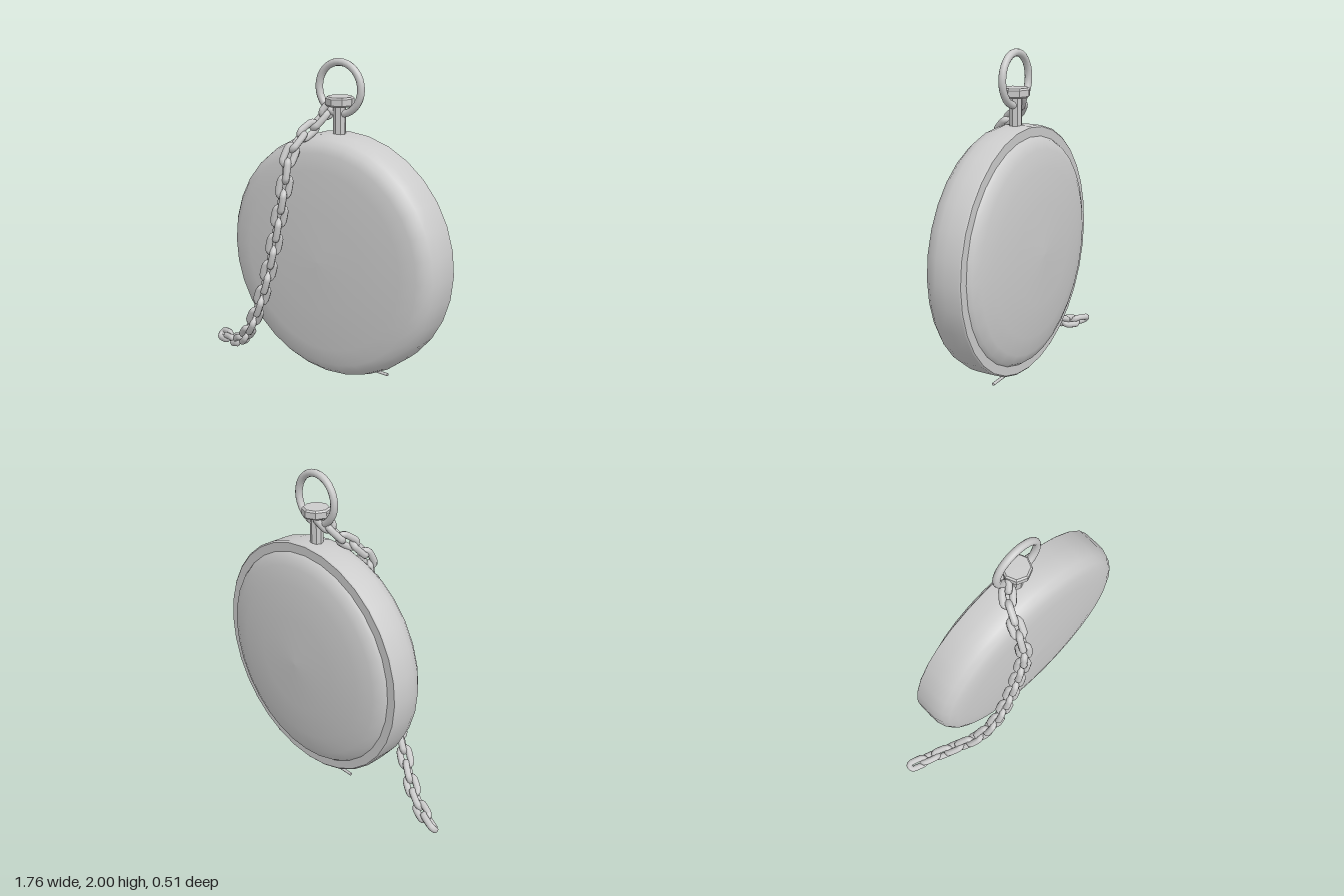
import * as THREE from 'three';

const CX = 0.125, CY = 0.825, STEM_Z = -0.063;
const smooth = new THREE.MeshStandardMaterial({ color: 0xcccccc, side: THREE.DoubleSide });
const faceted = new THREE.MeshStandardMaterial({ color: 0xcccccc, flatShading: true });

function add(parent, name, geometry, material, x = 0, y = 0, z = 0) {
  const mesh = new THREE.Mesh(geometry, material);
  mesh.name = name;
  mesh.position.set(x, y, z);
  parent.add(mesh);
  return mesh;
}

// Turned part whose axis is z; profile is [radius, z] from back to front
function turned(profile) {
  const points = profile.map(([r, z]) => new THREE.Vector2(r, z));
  return new THREE.LatheGeometry(points, 32).rotateX(Math.PI / 2);
}

// Closed oval wire loop lying in the xy plane, long along x
class LinkCurve extends THREE.Curve {
  getPoint(t, target = new THREE.Vector3()) {
    const a = t * Math.PI * 2, c = Math.cos(a);
    return target.set(0.03 * Math.sign(c) * Math.min(1, Math.abs(c) * 3) + 0.029 * c, 0.029 * Math.sin(a), 0);
  }
}

function createChain() {
  const chain = new THREE.Group();
  chain.name = 'chain';
  const path = new THREE.CatmullRomCurve3([
    [0.06, 1.71, -0.06], [0.01, 1.63, -0.01], [-0.035, 1.55, 0.09], [-0.06, 1.45, 0.17],
    [-0.07, 1.28, 0.205], [-0.11, 1.08, 0.21], [-0.165, 0.85, 0.21], [-0.235, 0.62, 0.205],
    [-0.32, 0.42, 0.19], [-0.43, 0.25, 0.15], [-0.57, 0.125, 0.07], [-0.71, 0.065, 0.0],
    [-0.815, 0.05, -0.04],
  ].map(p => new THREE.Vector3(...p)));
  const wire = new THREE.TubeGeometry(new LinkCurve(), 24, 0.021, 8, true);
  const count = Math.round(path.getLength() / 0.095);
  const side = new THREE.Vector3(), up = new THREE.Vector3(), basis = new THREE.Matrix4();
  for (let i = 0; i <= count; i++) {
    const p = path.getPointAt(i / count), t = path.getTangentAt(i / count);
    // Neighbouring links are a quarter turn apart
    side.set(0, 0, 1).cross(t).normalize();
    up.crossVectors(t, side);
    basis.makeBasis(t, side, up);
    const link = add(chain, 'chainLink', wire, smooth, p.x, p.y, p.z);
    link.quaternion.setFromRotationMatrix(basis);
    link.rotateX(i % 2 === count % 2 ? Math.PI / 4 : -Math.PI / 4);
  }
  return chain;
}

export function createModel() {
  const watch = new THREE.Group();
  watch.name = 'pocketWatch';

  // Case with rounded front, flat back rim and domed back lid
  add(watch, 'case', turned([
    [0.735, -0.156], [0.744, -0.148], [0.745, -0.06], [0.742, 0.0], [0.725, 0.05], [0.695, 0.085],
    [0.65, 0.107], [0.55, 0.123], [0.3, 0.139], [0, 0.145],
  ]), smooth, CX, CY);
  add(watch, 'backRim', turned([[0.66, -0.156], [0.735, -0.156]]), smooth, CX, CY);
  add(watch, 'backLid', turned([
    [0, -0.26], [0.3, -0.25], [0.5, -0.228], [0.61, -0.205], [0.665, -0.18], [0.685, -0.15],
  ]), smooth, CX, CY);

  // Thin pin at the foot of the case
  const pin = new THREE.CylinderGeometry(0.009, 0.009, 0.69, 8).rotateZ(Math.PI / 2);
  add(watch, 'hingePin', pin, smooth, CX, 0.11, -0.11);

  // Winding stem and crown
  add(watch, 'stem', new THREE.CylinderGeometry(0.038, 0.038, 0.22, 8), faceted, CX, 1.64, STEM_Z);
  add(watch, 'crown', new THREE.CylinderGeometry(0.085, 0.085, 0.036, 8), faceted, CX, 1.755, STEM_Z);
  add(watch, 'crownTop', new THREE.CylinderGeometry(0.075, 0.085, 0.01, 8), faceted, CX, 1.778, STEM_Z);
  add(watch, 'crownBase', new THREE.CylinderGeometry(0.085, 0.075, 0.01, 8), faceted, CX, 1.732, STEM_Z);

  // Carrying ring through the crown
  add(watch, 'bow', new THREE.TorusGeometry(0.148, 0.022, 10, 32), smooth, CX, 1.83, STEM_Z);

  watch.add(createChain());
  return watch;
}
